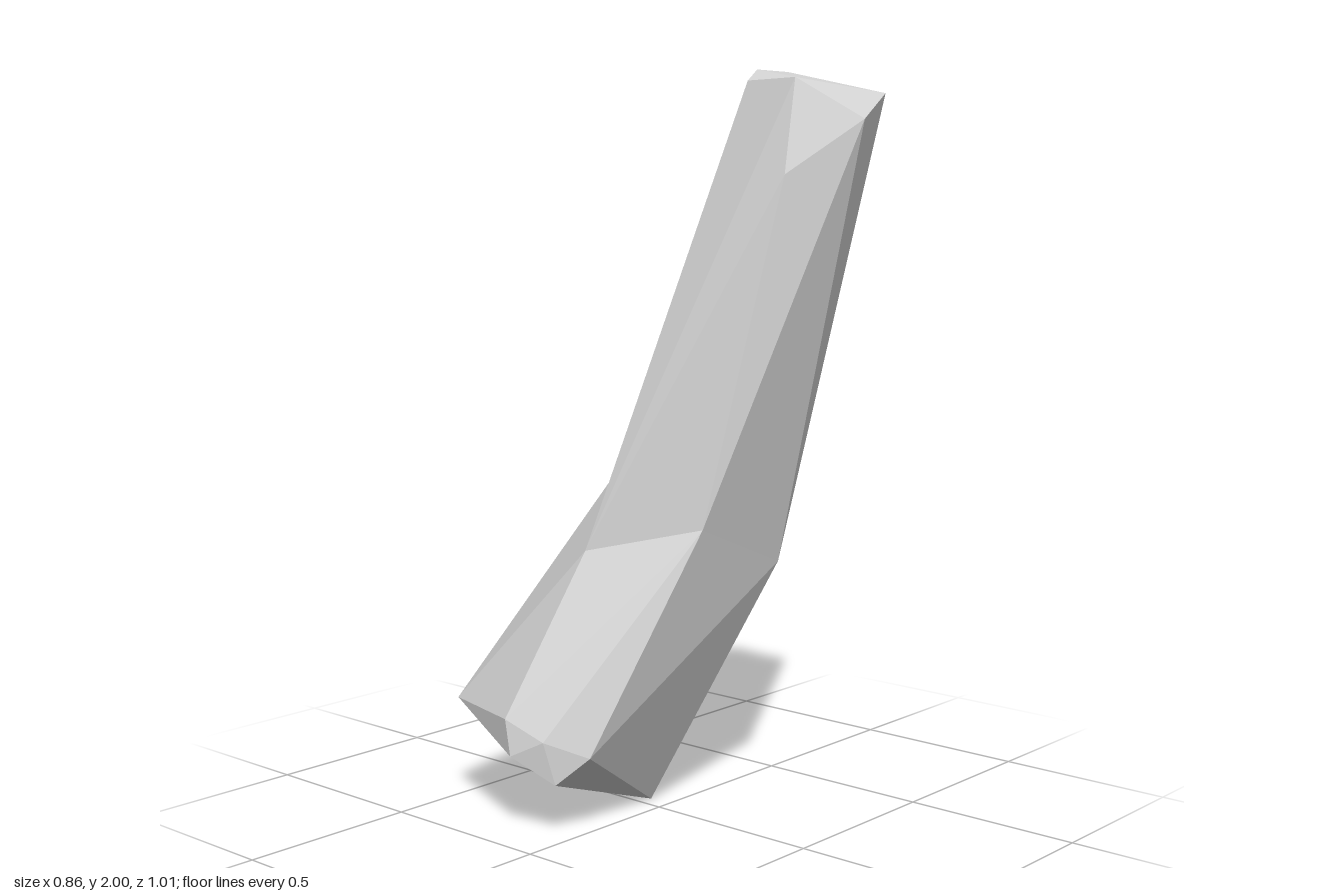
import * as THREE from 'three';
import { ConvexGeometry } from 'three/addons/geometries/ConvexGeometry.js';

const toPoints = (list) => list.map((p) => new THREE.Vector3(...p));

export function createModel() {
  const group = new THREE.Group();
  group.name = 'bentRock';
  const stone = new THREE.MeshStandardMaterial({ color: 0xd4d4d4 });
  stone.name = 'pale stone grey';

  // Rough ring at the bend, shared by both halves
  const bend = toPoints([
    [0.26, 0.68, 0.205], [-0.06, 0.81, 0.205], [-0.205, 0.74, -0.08], [0.115, 0.94, -0.205],
    [0.225, 1.12, -0.15], [0.362, 1.1, -0.07], [0.3, 0.585, -0.07],
  ]);

  // Chipped upper end
  const tip = toPoints([
    [0.22, 1.87, 0.503], [0.403, 1.94, 0.437], [0.403, 1.965, 0.197], [0.33, 2, 0.17],
    [0.24, 1.99, 0.15], [0.16, 2, 0.2], [0.115, 1.97, 0.205], [0.115, 1.975, 0.36],
    [0.075, 1.73, 0.36], [0.43, 1.75, 0.35], [0.16, 1.85, 0.12], [0.325, 1.9, 0.145],
  ]);

  // Broad slanted foot
  const foot = toPoints([
    [0.04, 0, -0.065], [0.08, 0.045, -0.35], [0.122, 0.14, -0.35], [-0.03, 0.195, -0.505],
    [-0.18, 0.21, -0.44], [-0.333, 0.3, -0.445], [-0.24, 0.38, -0.43], [-0.425, 0.31, -0.165],
    [-0.432, 0.215, -0.14], [-0.395, 0.26, -0.055], [-0.375, 0.145, -0.03], [-0.32, 0.22, 0.043],
  ]);

  // Each half is a faceted hull between its end and the bend
  for (const [name, end] of [['upperRock', tip], ['lowerRock', foot]]) {
    const mesh = new THREE.Mesh(new ConvexGeometry([...bend, ...end]), stone);
    mesh.name = name;
    group.add(mesh);
  }
  return group;
}
